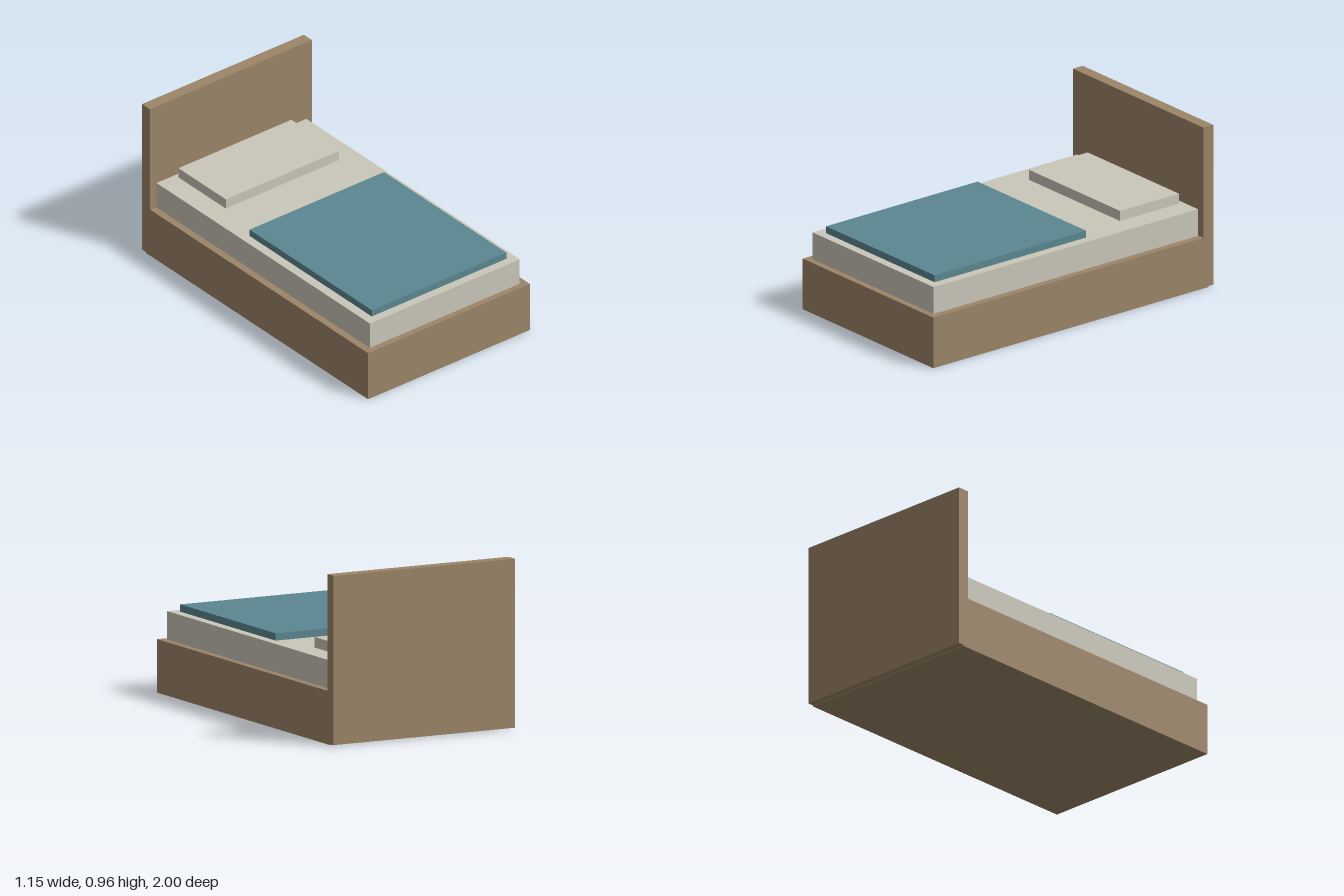
import * as THREE from 'three';

export function createModel() {
  const bed = new THREE.Group();
  bed.name = 'bed';

  const material = (name, color) => {
    const m = new THREE.MeshStandardMaterial({ color });
    m.name = name;
    return m;
  };
  const wood = material('wood', 0x9c8568);
  const linen = material('linen', 0xcac6b9);
  const teal = material('teal cloth', 0x5b8791);

  // Box centred on x, given its width and its y and z extents
  const slab = (name, mat, width, y0, y1, z0, z1) => {
    const mesh = new THREE.Mesh(new THREE.BoxGeometry(width, y1 - y0, z1 - z0), mat);
    mesh.name = name;
    mesh.position.set(0, (y0 + y1) / 2, (z0 + z1) / 2);
    bed.add(mesh);
  };

  // Wooden frame
  slab('base', wood, 1.155, 0, 0.302, -0.965, 1);
  slab('headboard', wood, 1.155, 0.006, 0.96, -1, -0.93);

  // Bedding
  slab('mattress', linen, 1.07, 0.302, 0.462, -0.925, 0.963);
  slab('pillow', linen, 0.806, 0.462, 0.522, -0.895, -0.475);
  slab('blanket', teal, 0.96, 0.462, 0.503, -0.17, 0.912);

  return bed;
}
